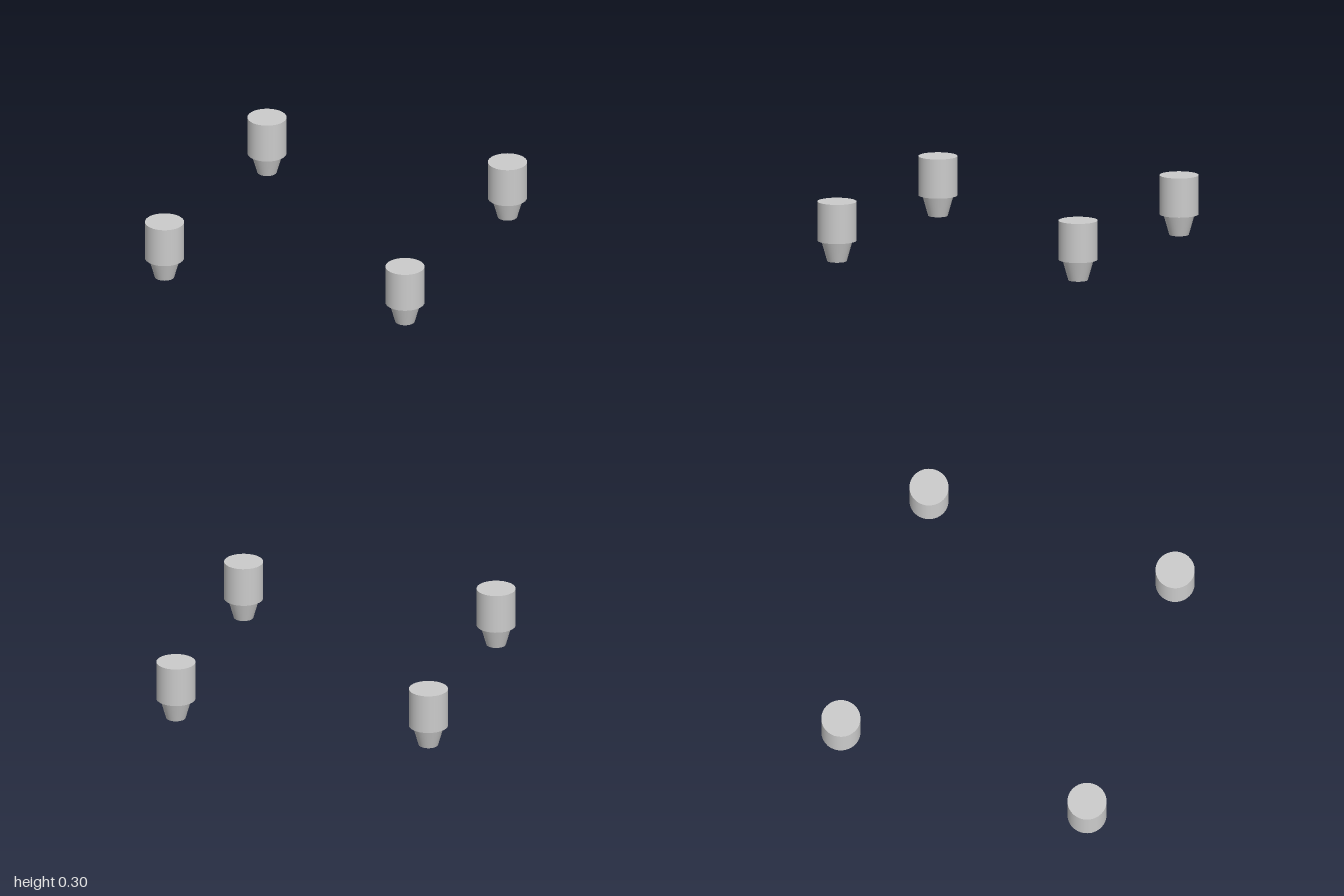
import * as THREE from 'three';

export function createModel() {
  const model = new THREE.Group();
  const material = new THREE.MeshStandardMaterial({ color: 0xcccccc });
  const radius = 0.096, ring = 1 - radius;
  const nozzleHeight = 0.102, bodyHeight = 0.195;

  // Cylinder or cone standing on height y
  const addDrum = (parent, name, top, bottom, height, y) => {
    const mesh = new THREE.Mesh(new THREE.CylinderGeometry(top, bottom, height, 32), material);
    mesh.name = name;
    mesh.position.y = y + height / 2;
    parent.add(mesh);
  };

  // Four identical thrusters, one on each side
  ['left', 'back', 'right', 'front'].forEach((side, i) => {
    const thruster = new THREE.Group();
    thruster.name = `${side}Thruster`;
    const angle = i * Math.PI / 2;
    thruster.position.set(ring * Math.cos(angle), 0, -ring * Math.sin(angle));
    addDrum(thruster, 'nozzle', 0.077, 0.048, nozzleHeight, 0);
    addDrum(thruster, 'body', radius, radius, bodyHeight, nozzleHeight);
    model.add(thruster);
  });

  return model;
}
